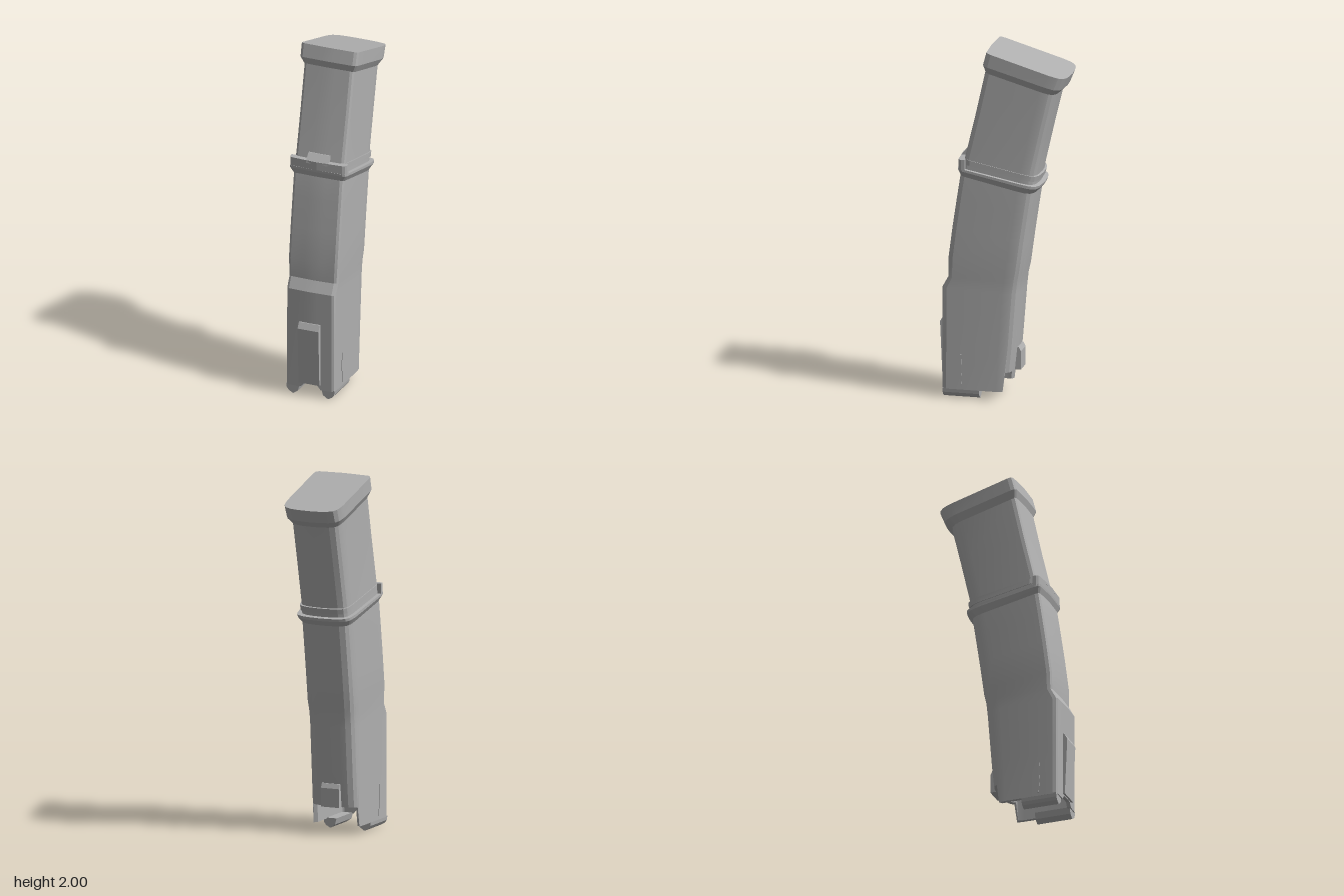
import * as THREE from 'three';
import { toCreasedNormals } from 'three/addons/utils/BufferGeometryUtils.js';

// Half cross-section: [share of half width, share of depth from front to back]
const HALF = [[0, 0], [0.3, 0.004], [0.44, 0.006], [0.88, 0.013], [0.97, 0.03], [1, 0.075], [1, 0.78],
  [0.97, 0.87], [0.94, 0.905], [0.85, 0.95], [0.65, 0.98], [0.4, 0.993], [0, 1]];
const RING = [...HALF, ...HALF.slice(1, -1).reverse().map(([u, t]) => [-u, t])];

// Height of the open lower rim: arch in front, cut-away at the back
const rim = (u, t) => (t > 0.9 ? 0.16 : t < 0.1 && Math.abs(u) < 0.4 ? 0.075 : 0.05);

// Skin tilted sections [front z, front y, back z, back y, half width, on rim]
function loft(sections) {
  const pos = [], index = [], n = RING.length;
  for (const [zf, yf, zb, yb, w, onRim] of sections) {
    for (const [u, t] of RING) {
      pos.push(u * w, onRim ? rim(u, t) : yf + (yb - yf) * t, zf + (zb - zf) * t);
    }
  }
  const last = sections.length - 1;
  for (let i = 0; i < last; i++) {
    for (let j = 0; j < n; j++) {
      const a = i * n + j, b = i * n + (j + 1) % n;
      index.push(a, b, b + n, a, b + n, a + n);
    }
  }
  // End caps
  for (let j = 1; j < n - 1; j++) {
    index.push(0, j + 1, j, last * n, last * n + j, last * n + j + 1);
  }
  const g = new THREE.BufferGeometry();
  g.setAttribute('position', new THREE.Float32BufferAttribute(pos, 3));
  g.setIndex(index);
  return toCreasedNormals(g, 0.2);
}

const shapeOf = (pts) => new THREE.Shape(pts.map(([x, y]) => new THREE.Vector2(x, y)));
const extrude = (pts, depth) => new THREE.ExtrudeGeometry(shapeOf(pts), { depth, bevelEnabled: false });

// Profile in (z, y), spread evenly across x
const prismX = (pts, width) => extrude(pts, width).translate(0, 0, -width / 2).rotateY(-Math.PI / 2);

export function createModel() {
  const group = new THREE.Group();
  const grey = new THREE.MeshStandardMaterial({ color: 0xb0b0b0 });
  const add = (name, geometry) => {
    const mesh = new THREE.Mesh(geometry, grey);
    mesh.name = name;
    group.add(mesh);
    return mesh;
  };

  // Curved body: hollow foot first, then the outer wall upward
  add('body', loft([
    [0.31, 0.6, -0.07, 0.6, 0.125],
    [0.325, 0.05, -0.035, 0.05, 0.125, true],
    [0.345, 0.05, -0.055, 0.05, 0.145, true],
    [0.345, 0.3, -0.07, 0.3, 0.145],
    [0.345, 0.63, -0.095, 0.61, 0.145],
    [0.312, 0.69, -0.102, 0.68, 0.145],
    [0.31, 0.8, -0.115, 0.74, 0.15],
    [0.287, 0.98, -0.138, 0.91, 0.15],
    [0.262, 1.15, -0.16, 1.06, 0.15],
    [0.242, 1.28, -0.18, 1.19, 0.15],
    [0.212, 1.4, -0.198, 1.32, 0.148],
    [0.155, 1.64, -0.25, 1.55, 0.148],
    [0.1, 1.89, -0.305, 1.78, 0.148],
  ]));

  // Flared collar at mid height
  add('collar', loft([
    [0.24, 1.28, -0.178, 1.19, 0.15],
    [0.252, 1.315, -0.207, 1.222, 0.17],
    [0.253, 1.328, -0.212, 1.238, 0.17],
  ]));

  // Raised front lip of the collar, with a sloped tab in its middle
  const lipHalf = [[0.17, 0.205], [0.17, 0.225], [0.163, 0.237], [0.15, 0.243]];
  const lipPlan = [...lipHalf, [0, 0.252], ...lipHalf.slice().reverse().map(([x, z]) => [-x, z])];
  add('collarLip', extrude(lipPlan.map(([x, z]) => [x, -z]), 0.06).rotateX(-Math.PI / 2).translate(0, 1.315, 0));
  add('collarTab', prismX([[0.2, 1.36], [0.25, 1.36], [0.248, 1.375], [0.213, 1.41], [0.2, 1.41]], 0.13));

  // Thin band above the collar
  add('band', loft([
    [0.213, 1.345, -0.198, 1.262, 0.153],
    [0.211, 1.375, -0.206, 1.292, 0.153],
  ]));

  // Flared end cap
  add('endCap', loft([
    [0.1, 1.88, -0.303, 1.765, 0.148],
    [0.111, 1.925, -0.338, 1.797, 0.17],
    [0.091, 2.0, -0.366, 1.865, 0.171],
  ]));

  // Front rib and rear catch block
  add('frontRib', prismX([[0.335, 0.08], [0.355, 0.08], [0.369, 0.41], [0.35, 0.443], [0.335, 0.443]], 0.125));
  add('rearBlock', prismX([[-0.05, 0.16], [-0.086, 0.16], [-0.086, 0.265], [-0.074, 0.29], [-0.05, 0.29]], 0.11));

  // Curled lips under the foot and slim side ridges
  const lip = [[0.145, 0.055], [0.142, 0.03], [0.13, 0.014], [0.105, 0], [0.09, 0.01], [0.075, 0.02], [0.066, 0.055]];
  for (const s of [1, -1]) {
    const side = s > 0 ? 'left' : 'right';
    add(side + 'FootLip', extrude(lip.map(([x, y]) => [s * x, y]), 0.205).translate(0, 0, 0.13));
    const ridge = [[0.225, 0.07], [0.233, 0.07], [0.239, 0.16], [0.236, 0.25], [0.228, 0.25], [0.23, 0.16]];
    add(side + 'Ridge', prismX(ridge, 0.006)).position.x = s * 0.145;
  }
  return group;
}
